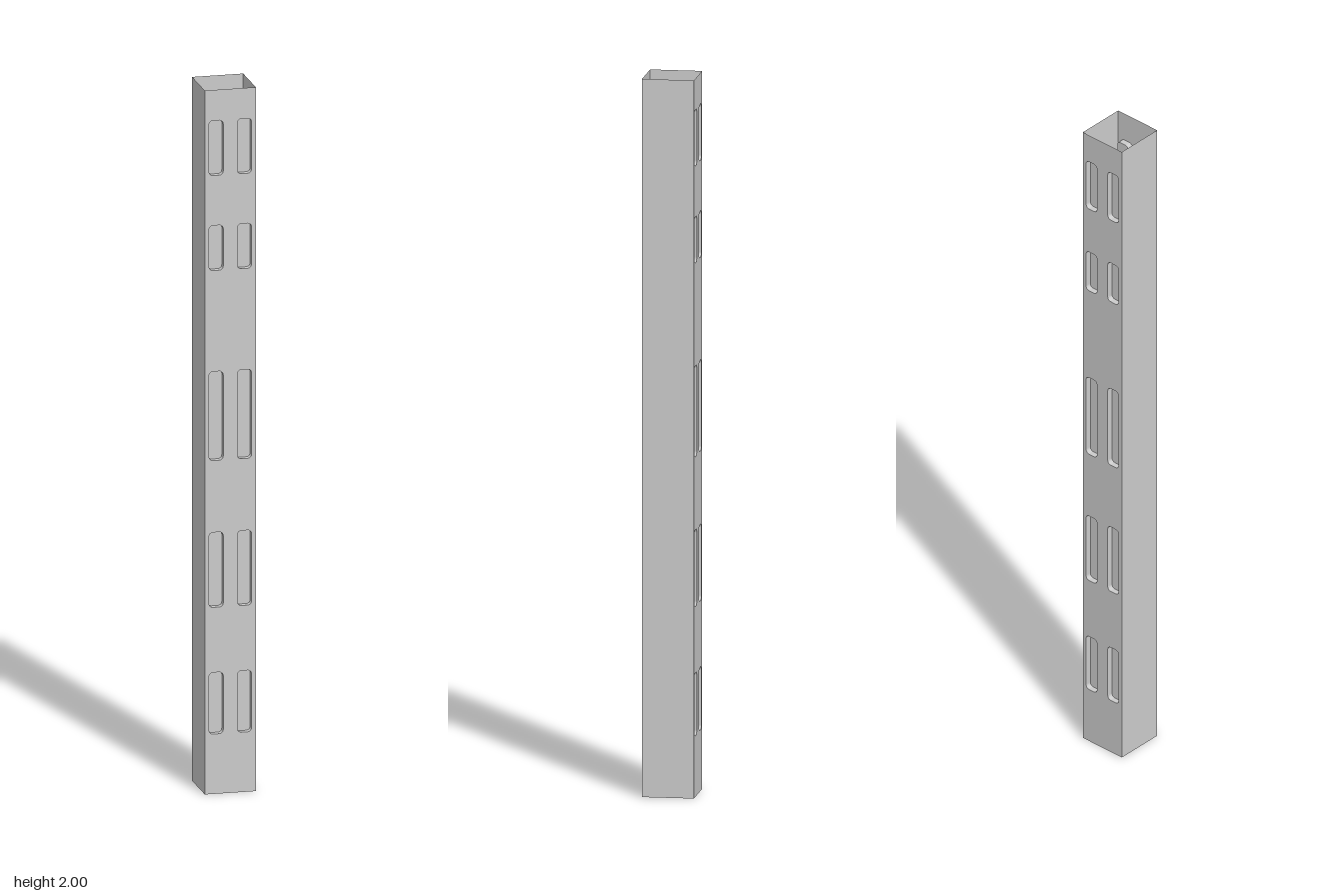
import * as THREE from 'three';

const HALF = 0.072;    // half width of the square tube
const HEIGHT = 2;
const DEPTH = 0.017;   // depth of the pressed slots
const SEGMENTS = 3;    // sides per rounded slot corner

// bottom and top of each row of slots
const ROWS = [[0.17, 0.345], [0.53, 0.743], [0.947, 1.2], [1.487, 1.615], [1.757, 1.913]];

const material = new THREE.MeshStandardMaterial({ color: 0xcccccc, side: THREE.DoubleSide, flatShading: true });

// Counter-clockwise rounded rectangle
function roundedOutline(x0, x1, y0, y1, r, Type) {
  const s = new Type();
  s.absarc(x1 - r, y0 + r, r, -Math.PI / 2, 0);
  s.absarc(x1 - r, y1 - r, r, 0, Math.PI / 2);
  s.absarc(x0 + r, y1 - r, r, Math.PI / 2, Math.PI);
  s.absarc(x0 + r, y0 + r, r, Math.PI, Math.PI * 1.5);
  s.closePath();
  return s;
}

// Band of quads from the panel face back to the slot floor, facing into the slot
function slotWallGeometry(points) {
  const pos = [];
  points.forEach((a, i) => {
    const b = points[(i + 1) % points.length];
    if (a.distanceTo(b) < 1e-6) return;
    pos.push(a.x, a.y, 0, b.x, b.y, -DEPTH, a.x, a.y, -DEPTH);
    pos.push(a.x, a.y, 0, b.x, b.y, 0, b.x, b.y, -DEPTH);
  });
  const g = new THREE.BufferGeometry();
  g.setAttribute('position', new THREE.Float32BufferAttribute(pos, 3));
  g.computeVertexNormals();
  return g;
}

function addMesh(parent, geometry, name) {
  const mesh = new THREE.Mesh(geometry, material);
  mesh.name = name;
  parent.add(mesh);
  return mesh;
}

// One tube face with two columns of blind slots
function slottedPanel(name) {
  const panel = new THREE.Group();
  panel.name = name;
  const face = new THREE.Shape([
    new THREE.Vector2(-HALF, 0), new THREE.Vector2(HALF, 0),
    new THREE.Vector2(HALF, HEIGHT), new THREE.Vector2(-HALF, HEIGHT),
  ]);
  for (const [y0, y1] of ROWS) {
    for (const x of [-0.04, 0.04]) {
      const args = [x - 0.02, x + 0.02, y0, y1, 0.011];
      face.holes.push(roundedOutline(...args, THREE.Path));
      const outline = roundedOutline(...args, THREE.Shape);
      addMesh(panel, slotWallGeometry(outline.getPoints(SEGMENTS)), 'slotWall');
      addMesh(panel, new THREE.ShapeGeometry(outline, SEGMENTS), 'slotFloor').position.z = -DEPTH;
    }
  }
  addMesh(panel, new THREE.ShapeGeometry(face, SEGMENTS), 'panelFace');
  return panel;
}

export function createModel() {
  const post = new THREE.Group();
  post.name = 'slottedPost';

  // Slotted front and back
  const front = slottedPanel('frontPanel');
  front.position.z = HALF;
  const back = slottedPanel('backPanel');
  back.rotation.y = Math.PI;
  back.position.z = -HALF;
  post.add(front, back);

  // Plain sides; the tube is open at both ends
  for (const side of [-1, 1]) {
    const wall = addMesh(post, new THREE.PlaneGeometry(HALF * 2, HEIGHT), side > 0 ? 'leftPanel' : 'rightPanel');
    wall.rotation.y = side * Math.PI / 2;
    wall.position.set(side * HALF, HEIGHT / 2, 0);
  }
  return post;
}
